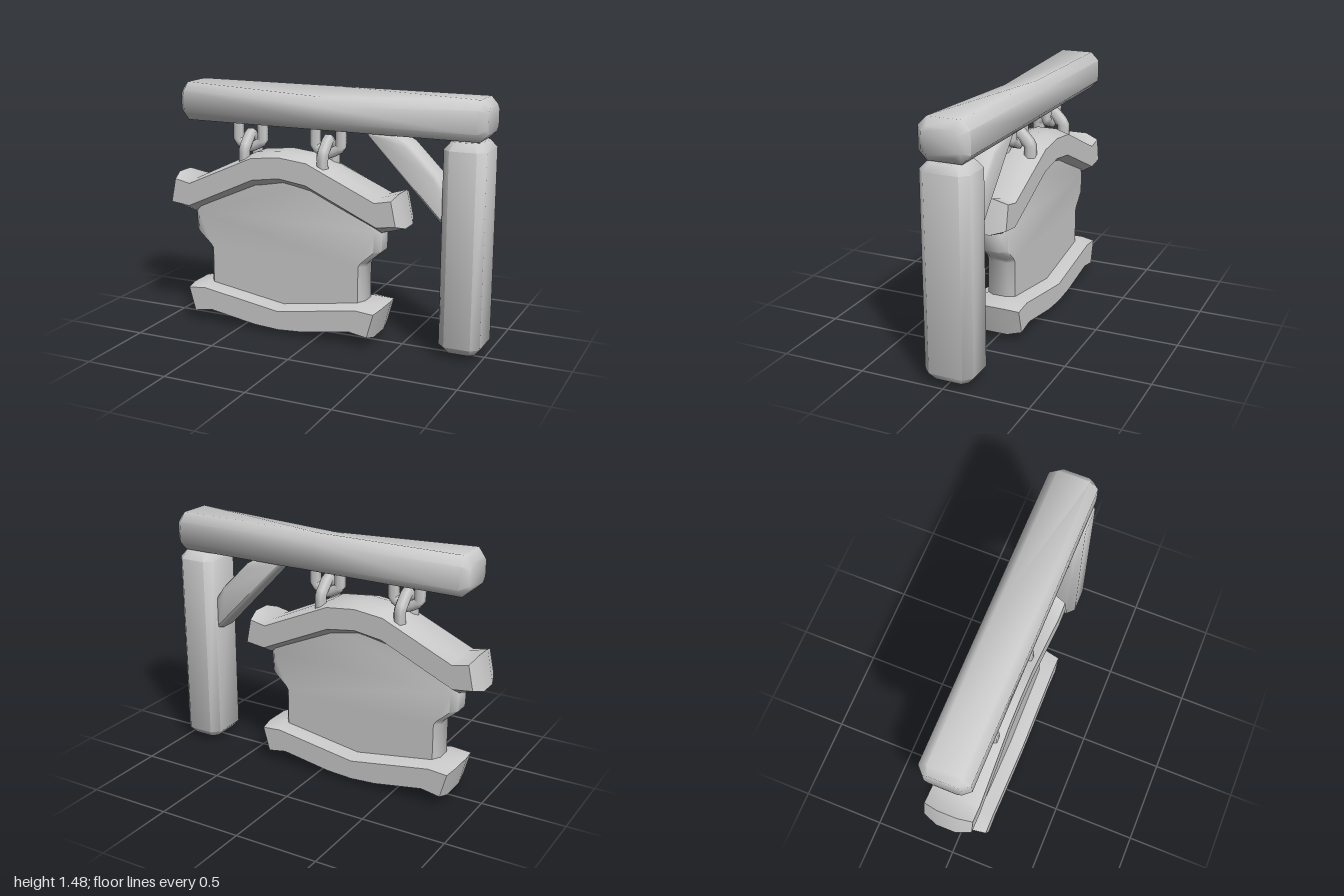
import * as THREE from 'three';
import { toCreasedNormals } from 'three/addons/utils/BufferGeometryUtils.js';

const material = new THREE.MeshStandardMaterial({ color: 0xcccccc });
const SIGN_X = -0.235;

// Skin a stack of matching outlines [[u, v], ...] at rising heights w, capped at both ends
function loft(rings, heights, crease = 0.9) {
  const flip = THREE.ShapeUtils.isClockWise(rings[0].map(([x, y]) => new THREE.Vector2(x, y)));
  const outlines = rings.map((r) => (flip ? [...r].reverse() : r));
  const n = outlines[0].length, last = outlines.length - 1;
  const position = [], index = [];
  outlines.forEach((r, i) => r.forEach(([x, y]) => position.push(x, y, heights[i])));
  for (let i = 0; i < last; i++) {
    for (let j = 0; j < n; j++) {
      const k = (j + 1) % n;
      const a = i * n + j, b = i * n + k, c = b + n, d = a + n;
      index.push(a, b, c, a, c, d);
    }
  }
  const cap = (ring) => THREE.ShapeUtils.triangulateShape(
    ring.map(([x, y]) => new THREE.Vector2(x, y)), []);
  cap(outlines[0]).forEach(([a, b, c]) => index.push(a, c, b));
  cap(outlines[last]).forEach(([a, b, c]) => index.push(a + last * n, b + last * n, c + last * n));
  const geometry = new THREE.BufferGeometry();
  geometry.setAttribute('position', new THREE.Float32BufferAttribute(position, 3));
  geometry.setIndex(index);
  return toCreasedNormals(geometry, crease);
}

// Complete a half outline that runs from top centre to bottom centre
const mirror = (half) => [...half, ...half.slice(1, -1).reverse().map(([x, y]) => [-x, y])];

// Rectangle with cut corners
function octagon(u0, u1, v0, v1, c) {
  return [[u0 + c, v0], [u1 - c, v0], [u1, v0 + c], [u1, v1 - c],
    [u1 - c, v1], [u0 + c, v1], [u0, v1 - c], [u0, v0 + c]];
}

// Four-ring slab with bevelled faces front and back
function slab(face, middle, z, zMiddle) {
  return loft([face, middle, middle, face], [-z, -zMiddle, zMiddle, z]);
}

function tube(points, radius) {
  const curve = new THREE.CatmullRomCurve3(
    points.map((p) => new THREE.Vector3(...p)), false, 'catmullrom', 0.15);
  return new THREE.TubeGeometry(curve, 24, radius, 6);
}

export function createModel() {
  const model = new THREE.Group();
  const add = (name, geometry, x = 0, parent = model) => {
    const mesh = new THREE.Mesh(geometry, material);
    mesh.name = name;
    mesh.position.x = x;
    parent.add(mesh);
    return mesh;
  };

  // Upright post
  const postFull = octagon(0.75, 0.995, -0.13, 0.16, 0.045);
  const postEnd = octagon(0.785, 0.96, -0.09, 0.12, 0.03);
  add('post', loft([postEnd, postFull, postFull, postEnd], [0.03, 0.075, 1.2, 1.245], 1.0)
    .rotateX(-Math.PI / 2));

  // Crossbeam, worn down along the middle of its front top edge
  const beamFull = octagon(-0.13, 0.165, 1.25, 1.48, 0.05);
  const beamEnd = octagon(-0.09, 0.125, 1.29, 1.44, 0.03);
  const beamWorn = beamFull.map(([u, v]) => (u < 0 && v > 1.4 ? [u, v - 0.04] : [u, v]));
  add('crossbeam', loft([beamEnd, beamFull, beamWorn, beamFull, beamEnd],
    [-0.912, -0.87, 0.02, 0.95, 0.995], 1.0).rotateY(Math.PI / 2));

  // Diagonal brace between post and beam
  const braceShape = new THREE.Shape([[0.265, 1.26], [0.73, 0.77], [0.765, 0.765], [0.765, 0.96],
    [0.71, 1.04], [0.54, 1.21], [0.45, 1.26]].map(([x, y]) => new THREE.Vector2(x, y)));
  add('brace', toCreasedNormals(new THREE.ExtrudeGeometry(braceShape, {
    depth: 0.09, bevelThickness: 0.04, bevelSize: 0.03, bevelOffset: -0.03, bevelSegments: 2,
  }).translate(0, 0, -0.06), 1.0));

  // Sign board
  const sign = new THREE.Group();
  sign.name = 'sign';
  sign.position.x = SIGN_X;
  model.add(sign);
  const panel = mirror([[0, 0.97], [0.2, 0.94], [0.58, 0.77], [0.62, 0.69], [0.615, 0.56],
    [0.53, 0.485], [0.515, 0.46], [0.515, 0.1], [0, 0.1]]);
  const panelFace = panel.map(([x, y]) => [x * 0.94, 0.5 + (y - 0.5) * 0.97]);
  add('signPanel', slab(panelFace, panel, 0.085, 0.045), 0, sign);

  // Arched top trim
  add('topTrim', slab(
    mirror([[0, 1.08], [0.18, 1.06], [0.605, 0.87], [0.705, 0.89],
      [0.735, 0.745], [0.615, 0.73], [0.175, 0.93], [0, 0.955]]),
    mirror([[0, 1.105], [0.185, 1.085], [0.61, 0.885], [0.725, 0.92],
      [0.765, 0.72], [0.62, 0.68], [0.185, 0.87], [0, 0.905]]),
    0.145, 0.06), 0, sign);

  // Sagging bottom trim
  add('bottomTrim', slab(
    mirror([[0, 0.145], [0.5, 0.225], [0.615, 0.215],
      [0.575, 0.07], [0.46, 0.09], [0.16, 0.04], [0, 0.03]]),
    mirror([[0, 0.17], [0.51, 0.25], [0.63, 0.225],
      [0.585, 0.045], [0.47, 0.08], [0.16, 0.015], [0, 0.002]]),
    0.167, 0.08), 0, sign);

  // Two pairs of interlocked staples: one hangs from the beam, one rises from the sign
  for (const side of [-1, 1]) {
    const x = side * 0.255;
    add('beamStaple', tube([[-0.08, 1.28, 0], [-0.08, 1.14, 0], [0, 1.1, 0],
      [0.08, 1.14, 0], [0.08, 1.28, 0]], 0.033), x, sign);
    add('signStaple', tube([[0, 0.98, 0.08], [0, 1.1, 0.08], [0, 1.18, 0],
      [0, 1.1, -0.08], [0, 0.98, -0.08]], 0.038), x, sign);
  }
  return model;
}
